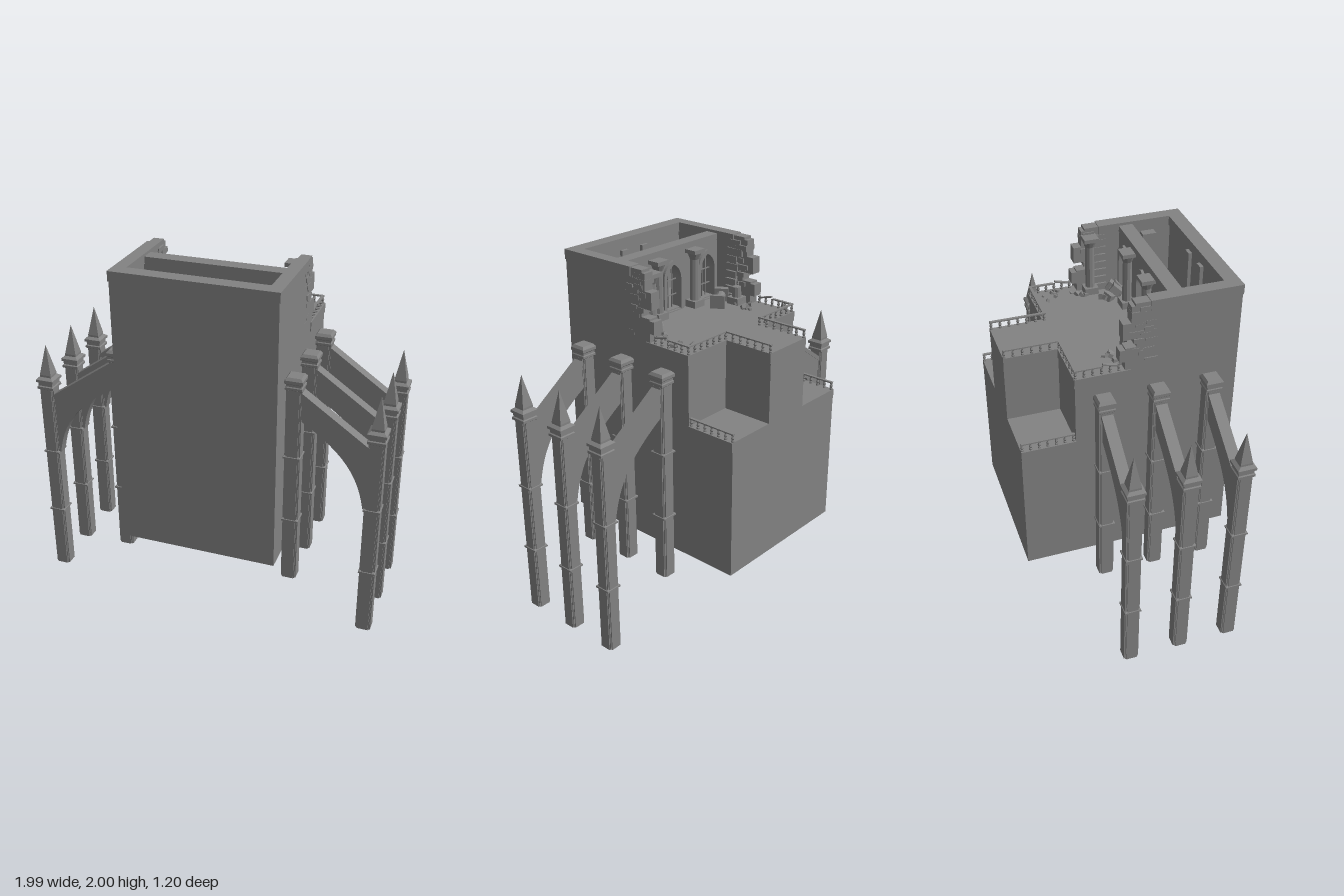
import * as THREE from 'three';

const mat = new THREE.MeshStandardMaterial({ color: 0x828282, flatShading: true, side: THREE.DoubleSide });
const V = (x, y) => new THREE.Vector2(x, y);
const DECK = 1.61, LOW = 1.21;

let seed = 7;
const rnd = () => (seed = (seed * 16807) % 2147483647) / 2147483647;

function add(parent, name, geo, x = 0, y = 0, z = 0) {
  const m = new THREE.Mesh(geo, mat);
  m.name = name;
  m.position.set(x, y, z);
  parent.add(m);
  return m;
}
function group(parent, name) {
  const g = new THREE.Group();
  g.name = name;
  parent.add(g);
  return g;
}
// Box given by its min and max corners
function box(parent, name, x0, x1, y0, y1, z0, z1) {
  return add(parent, name, new THREE.BoxGeometry(x1 - x0, y1 - y0, z1 - z0),
    (x0 + x1) / 2, (y0 + y1) / 2, (z0 + z1) / 2);
}
const shapeOf = pts => new THREE.Shape(pts.map(p => V(p[0], p[1])));
const extrude = (shape, depth) => new THREE.ExtrudeGeometry(shape, { depth, bevelEnabled: false, curveSegments: 12 });
// Square lathe: profile of [half width, y], open at the bottom
const squareLathe = pts => new THREE.LatheGeometry(pts.map(p => V(p[0] * Math.SQRT2, p[1])), 4).rotateY(Math.PI / 4);
// Moulding ring around a pier
const ring = y => [[.037, y - .01], [.047, y - .005], [.047, y + .005], [.037, y + .01]];

// Raised faces of a pier, leaving notched corners
function pierPanels(parent, x, spans) {
  for (const [a, b] of spans) for (let i = 0; i < 4; i++) {
    const ang = i * Math.PI / 2;
    const m = add(parent, 'pierPanel', new THREE.BoxGeometry(.062, b - a, .008),
      x + Math.sin(ang) * .039, (a + b) / 2, Math.cos(ang) * .039);
    m.rotation.y = ang;
  }
}

// Outer pier with spire, inner pier and the arch between them
function buttress(parent, z, flip) {
  const g = group(parent, 'flyingButtress');
  g.position.z = z;
  if (flip) g.rotation.y = Math.PI;
  add(g, 'outerPier', squareLathe([[.037, 0], ...ring(.39), ...ring(.79), [.037, 1.19], [.049, 1.198], [.049, 1.212],
    [.043, 1.217], [.043, 1.235], [.052, 1.24], [.052, 1.255], [.034, 1.268], [.034, 1.28], [0, 1.455]]), .945);
  pierPanels(g, .945, [[0, .385], [.395, .785], [.795, 1.195]]);
  add(g, 'innerPier', squareLathe([[.037, .25], ...ring(.635), ...ring(1.03), [.037, 1.425], [.046, 1.433], [.046, 1.445],
    [.042, 1.45], [.042, 1.462], [.049, 1.468], [.049, 1.485], [.038, 1.5], [0, 1.5]]), .5);
  pierPanels(g, .5, [[.25, .63], [.64, 1.025], [1.035, 1.43]]);
  const s = new THREE.Shape();
  s.moveTo(.53, 1.42);
  s.lineTo(.91, 1.15);
  s.lineTo(.91, .79);
  s.lineTo(.893, .79);
  s.bezierCurveTo(.86, .98, .78, 1.11, .53, 1.26);
  add(g, 'archRib', extrude(s, .056), 0, 0, -.028);
  add(g, 'archCoping', extrude(shapeOf([[.53, 1.425], [.915, 1.157], [.915, 1.13], [.53, 1.398]]), .064), 0, 0, -.032);
}

// Straight balustrade from (x0,z0) to (x1,z1) standing on height y
const baluster = new THREE.LatheGeometry([V(.009, 0), V(.009, .008), V(.005, .012), V(.01, .022), V(.005, .034), V(.009, .038), V(.009, .042)], 6);
function balustrade(parent, x0, z0, x1, z1, y, railed = 1) {
  const g = group(parent, 'balustrade');
  const len = Math.hypot(x1 - x0, z1 - z0), n = Math.max(1, Math.round(len / .048));
  for (let i = 0; i <= n; i++) add(g, 'baluster', baluster, x0 + (x1 - x0) * i / n, y, z0 + (z1 - z0) * i / n);
  const rail = add(g, 'handrail', new THREE.BoxGeometry(len * railed + .014, .007, .016),
    x0 + (x1 - x0) * railed / 2, y + .044, z0 + (z1 - z0) * railed / 2);
  rail.rotation.y = -Math.atan2(z1 - z0, x1 - x0);
}

// Round column with square base and capital
function column(parent, name, x, z, h, whole = true) {
  const g = group(parent, name);
  g.position.set(x, DECK, z);
  box(g, 'columnBase', -.04, .04, 0, .04, -.04, .04);
  add(g, 'columnShaft', new THREE.CylinderGeometry(.026, .028, h - .06, 10), 0, h / 2, 0);
  if (whole) {
    add(g, 'capital', new THREE.CylinderGeometry(.042, .026, .04, 10), 0, h - .04, 0);
    box(g, 'abacus', -.042, .042, h - .022, h, -.042, .042);
  }
  return g;
}

// Rectangle with a pointed top, as a closed path
function lancet(path, cx, w, y0, y1) {
  path.moveTo(cx - w, y0);
  path.lineTo(cx + w, y0);
  path.lineTo(cx + w, y1 - .1);
  path.quadraticCurveTo(cx + w, y1 - .03, cx, y1);
  path.quadraticCurveTo(cx - w, y1 - .03, cx - w, y1 - .1);
  return path;
}

export function createModel() {
  const root = new THREE.Group();
  root.name = 'ruinedHall';

  // Lower block with the rectangular shaft underneath
  const base = shapeOf([[-.45, -.6], [.45, -.6], [.45, .6], [-.45, .6]]);
  base.holes.push(new THREE.Path([V(-.15, -.3), V(-.15, .27), V(.15, .27), V(.15, -.3)]));
  add(root, 'lowerBlock', extrude(base, LOW - .4).rotateX(-Math.PI / 2), 0, .4, 0);
  // T-shaped upper block leaving the two lower terraces free
  add(root, 'upperBlock', extrude(shapeOf([[-.45, -.6], [.45, -.6], [.45, .3], [.15, .3], [.15, .6], [-.15, .6], [-.15, .3], [-.45, .3]]),
    DECK - LOW).rotateX(-Math.PI / 2), 0, LOW, 0);

  // Front wall and cornice
  box(root, 'frontWall', -.45, .45, DECK, 1.99, .53, .6);
  box(root, 'frontCornice', -.455, .455, 1.945, 2, .52, .603);

  // Partition with three pointed openings
  const wall = shapeOf([[-.4, DECK], [.4, DECK], [.4, 1.97], [-.4, 1.97]]);
  for (const x of [-.29, 0, .29]) wall.holes.push(lancet(new THREE.Path(), x, .065, DECK + .01, 1.89));
  add(root, 'partitionWall', extrude(wall, .07), 0, 0, .225);
  box(root, 'partitionCornice', -.4, .4, 1.95, 1.985, .22, .3);
  for (const x of [-.29, 0, .29]) {
    const frame = lancet(new THREE.Shape(), x, .08, DECK, 1.91);
    frame.holes.push(lancet(new THREE.Path(), x, .06, DECK + .005, 1.885));
    add(root, 'archFrame', extrude(frame, .02), 0, 0, .21);
    for (const d of [-.03, 0, .03]) box(root, 'windowBar', x + d - .003, x + d + .003, DECK, 1.86, .255, .261);
    for (const y of [1.69, 1.78]) box(root, 'windowCrossbar', x - .065, x + .065, y, y + .006, .255, .261);
  }

  // Broken side walls, with ragged stones along the edge
  const ragged = [[.6, DECK], [.6, 1.99], [.1, 1.99], [.1, 1.995], [.02, 1.995], [.02, 1.98], [0, 1.98], [0, 1.885], [-.045, 1.885],
    [-.045, 1.79], [.03, 1.79], [.03, 1.74], [-.03, 1.74], [-.03, 1.73], [-.06, 1.73], [-.06, 1.66], [-.03, 1.66], [-.03, DECK]];
  for (const s of [1, -1]) {
    const side = group(root, s > 0 ? 'leftSideWall' : 'rightSideWall');
    add(side, 'brokenWall', extrude(shapeOf(ragged), .06).rotateY(-Math.PI / 2), s > 0 ? .45 : -.39, 0, 0);
    box(side, 'sideCornice', s * .42 - .036, s * .42 + .036, 1.945, 2, .1, .6);
    for (let i = 0; i < 24; i++) {
      const y = 1.64 + rnd() * .32, z = .02 + rnd() * .1, l = .02 + rnd() * .02, t = .033 + rnd() * .006;
      box(side, 'looseStone', s * .417 - t, s * .417 + t, y - .013, y + .013, z - l, z + l);
    }
    for (let i = 0; i < 7; i++) {
      const w = .07 - i * .007, y = DECK + i * .045;
      box(side, 'wallToothing', s * .42 - .03 - (s > 0 ? w * .4 : 0), s * .42 + .03 + (s < 0 ? w * .4 : 0), y, y + .04, .03 + rnd() * .04, .14);
    }

    // Pilasters on the partition and inside the front room
    column(root, 'partitionColumn', s * .15, .19, .34);
    box(root, 'roomSidePilaster', s * .365 - .025, s * .365 + .025, DECK, 1.93, .35, .43);
    box(root, 'roomFrontPilaster', s * .08 - .025, s * .08 + .025, DECK, 1.93, .51, .535);

    // Balustrades of the deck and lower terraces
    balustrade(root, s * .145, -.592, s * .145, -.293, DECK);
    balustrade(root, s * .145, -.293, s * .44, -.293, DECK);
    balustrade(root, s * .44, -.293, s * .44, -.06, DECK, .55);
    balustrade(root, s * .44, -.592, s * .44, -.31, LOW);
    // Snapped handrail piece leaning on the broken balusters
    const snapped = box(root, 'snappedHandrail', s * .44 - .008, s * .44 + .008, 1.65, 1.658, -.15, -.06);
    snapped.rotation.x = .25;

    // Shallow bands under the terrace edges
    box(root, 'deckBand', s * .43 - .025, s * .43 + .025, 1.555, DECK, -.303, 0);
    box(root, 'terraceBand', s * .43 - .025, s * .43 + .025, 1.155, LOW, -.6, -.3);
    box(root, 'deckBackBand', s * .3 - .15, s * .3 + .15, 1.555, DECK, -.305, -.29);
    box(root, 'deckInnerBand', s * .145 - .01, s * .145 + .01, 1.555, DECK, -.6, -.3);

    for (const z of [.44, .142, -.156]) buttress(root, z, s < 0);
  }

  // Free columns: one standing, one broken, one fallen
  column(root, 'standingColumn', .36, .04, .35);
  column(root, 'brokenColumn', -.35, .04, .13, false);
  const fallen = column(root, 'fallenColumn', -.35, .15, .18);
  fallen.position.y = DECK + .035;
  fallen.rotation.set(0, Math.atan2(.09, .15), -Math.PI / 2);

  // Rubble heaps on the deck
  const rubble = group(root, 'rubble');
  for (const [cx, cz, r, n, size] of [[.29, .15, .06, 12, .05], [-.35, -.04, .06, 9, .022], [.37, -.2, .06, 9, .018], [-.36, .16, .05, 6, .03], [.36, -.04, .04, 5, .02]])
    for (let i = 0; i < n; i++) {
      const d = size * (.5 + rnd() * .6);
      const m = add(rubble, 'rubbleStone', new THREE.BoxGeometry(d * 1.4, d, d), cx + (rnd() * 2 - 1) * r, DECK + d * .4, cz + (rnd() * 2 - 1) * r);
      m.rotation.set(rnd() * .6, rnd() * 3, rnd() * .6);
    }
  return root;
}
